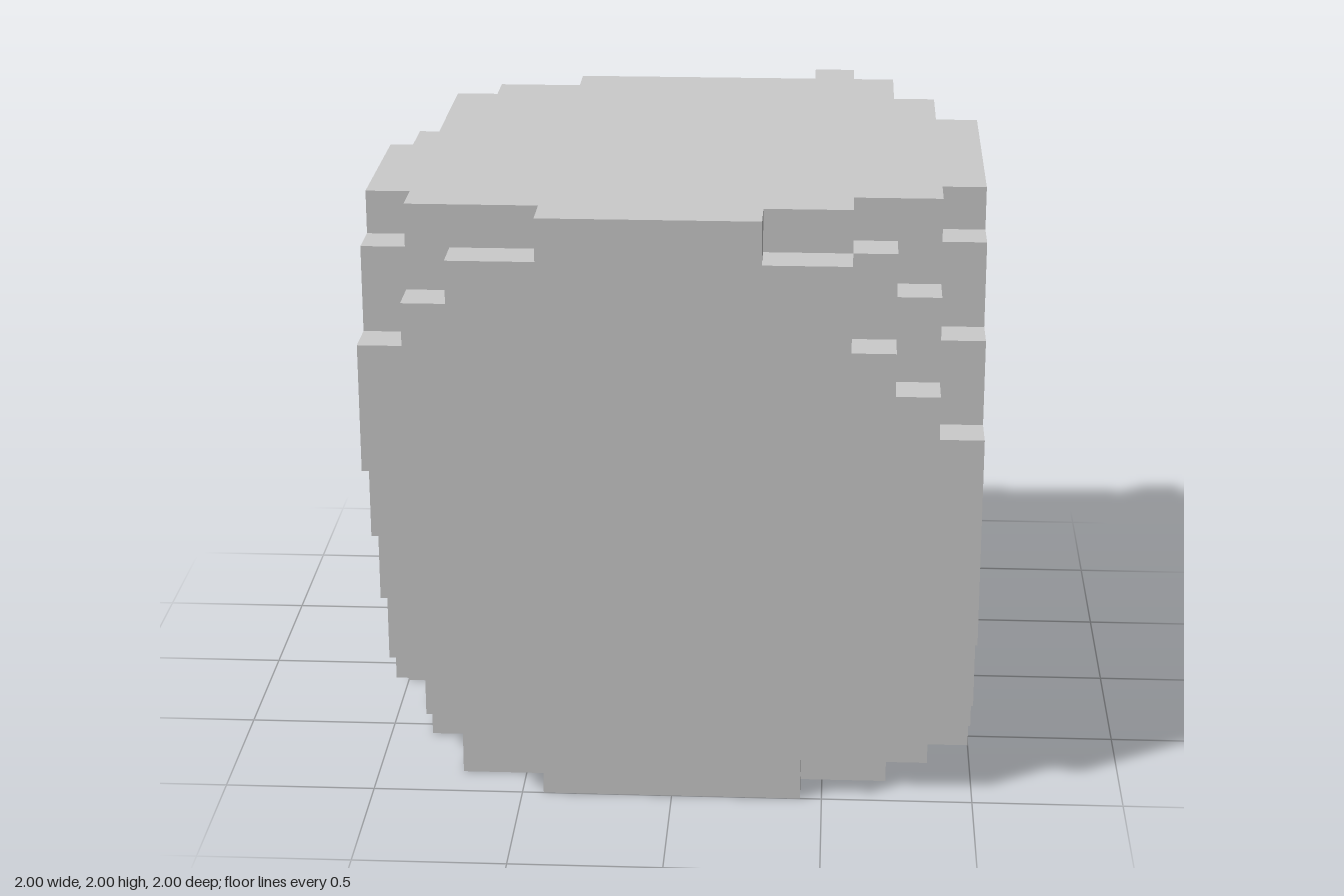
import * as THREE from 'three';

const N = 14;        // cells along each side
const CELL = 2 / N;

// Stepped bites out of the cube's eight corners. side = signs of x, y, z.
// cut[c][a] = number of cells removed vertically, at c cells in from the
// front/back face and a cells in from the left/right face.
const corners = [
  { side: [1, 1, 1], cut: [[5, 4, 3, 1, 1], [3, 2, 1], [1]] },
  { side: [-1, 1, 1], cut: [[3, 2, 1, 1], [1]] },
  { side: [1, -1, 1], cut: [[4, 2, 2, 1], [2, 1], [1]] },
  { side: [-1, -1, 1], cut: [[8, 5, 2, 1], [6, 3], [4, 1], [2], [1], [1]] },
  { side: [1, 1, -1], cut: [[5, 3, 1], [3, 3], [2, 1], [1], [1]] },
  { side: [-1, 1, -1], cut: [[4, 3, 3, 2, 2, 1, 1, 1, 1, 1], [3, 2, 1, 1], [2, 1], [1], [1], [1], [1], [1]] },
  { side: [1, -1, -1], cut: [[4, 2, 1], [2, 1], [1], [1], [1]] },
  { side: [-1, -1, -1], cut: [[4, 3, 2, 2, 1], [2, 1, 1], [1]] },
];

const fromSide = (i, s) => (s > 0 ? N - 1 - i : i);

// Is the cell at integer position p filled?
function filled(p) {
  if (p.some((i) => i < 0 || i >= N)) return false;
  return !corners.some(({ side, cut }) => {
    const [a, b, c] = p.map((i, axis) => fromSide(i, side[axis]));
    return b < (cut[c]?.[a] ?? 0);
  });
}

// Two triangles for every cell face that touches empty space
function blockGeometry() {
  const positions = [];
  const addFace = (p, axis, dir) => {
    const u = (axis + 1) % 3, v = (axis + 2) % 3;
    const quad = [[0, 0], [1, 0], [1, 1], [0, 1]].map(([du, dv]) => {
      const q = [...p];
      q[axis] += dir > 0 ? 1 : 0;
      q[u] += du;
      q[v] += dv;
      return [q[0] * CELL - 1, q[1] * CELL, q[2] * CELL - 1];
    });
    if (dir < 0) quad.reverse();
    for (const k of [0, 1, 2, 0, 2, 3]) positions.push(...quad[k]);
  };

  for (let x = 0; x < N; x++)
    for (let y = 0; y < N; y++)
      for (let z = 0; z < N; z++) {
        const p = [x, y, z];
        if (!filled(p)) continue;
        for (let axis = 0; axis < 3; axis++)
          for (const dir of [-1, 1]) {
            const next = [...p];
            next[axis] += dir;
            if (!filled(next)) addFace(p, axis, dir);
          }
      }

  const geometry = new THREE.BufferGeometry();
  geometry.setAttribute('position', new THREE.Float32BufferAttribute(positions, 3));
  geometry.computeVertexNormals();
  return geometry;
}

export function createModel() {
  const model = new THREE.Group();
  model.name = 'steppedBoulder';
  const block = new THREE.Mesh(
    blockGeometry(),
    new THREE.MeshStandardMaterial({ color: 0xcccccc, flatShading: true })
  );
  block.name = 'rockBlock';
  model.add(block);
  return model;
}
